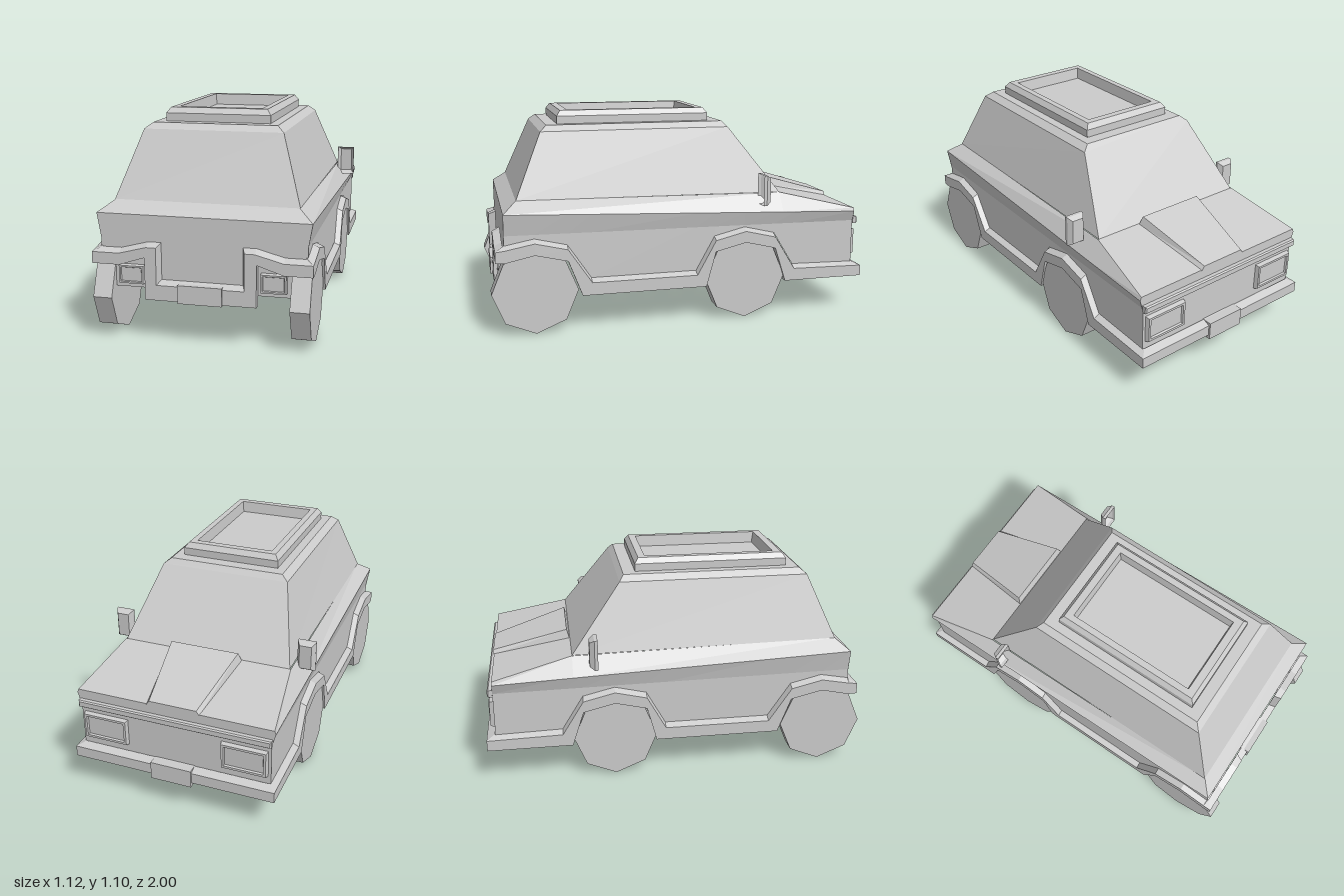
import * as THREE from 'three';

const mat = new THREE.MeshStandardMaterial({ color: 0xcccccc, flatShading: true, side: THREE.DoubleSide });

function add(parent, name, geometry) {
  const mesh = new THREE.Mesh(geometry, mat);
  mesh.name = name;
  parent.add(mesh);
  return mesh;
}

// Skin between rows of [x, y, z] points; closed joins row ends, cap fills the last row
function loft(rows, closed = false, cap = false) {
  const pos = [];
  const n = rows[0].length;
  const quad = (a, b, c, d) => pos.push(...a, ...b, ...c, ...a, ...c, ...d);
  for (let j = 0; j < rows.length - 1; j++) {
    for (let i = 0; i < (closed ? n : n - 1); i++) {
      const k = (i + 1) % n;
      quad(rows[j][i], rows[j][k], rows[j + 1][k], rows[j + 1][i]);
    }
  }
  if (cap) quad(...rows[rows.length - 1]);
  const g = new THREE.BufferGeometry();
  g.setAttribute('position', new THREE.Float32BufferAttribute(pos, 3));
  g.computeVertexNormals();
  return g;
}

// Reflect rows across x, reversing them so faces stay outward
const mirror = (rows) => rows.map((r) => r.map(([x, y, z]) => [-x, y, z]).reverse());

// Level rectangle: half width, back z, hood-side z, heights at each
const rect = (w, z0, z1, y0, y1 = y0) => [[-w, y0, z0], [w, y0, z0], [w, y1, z1], [-w, y1, z1]];

// Upright panel standing out along z; each step is [inset, z]
function panel(cx, cy, w, h, steps) {
  const out = steps[1][1] > steps[0][1];
  return loft(steps.map(([k, z]) => {
    const a = w / 2 - k, b = h / 2 - k;
    const r = [[cx - a, cy - b, z], [cx + a, cy - b, z], [cx + a, cy + b, z], [cx - a, cy + b, z]];
    return out ? r : r.reverse();
  }), true, true);
}

function wall(half, z) {
  const pts = [...half, ...half.map(([x, y]) => [-x, y]).reverse()];
  const g = new THREE.ShapeGeometry(new THREE.Shape(pts.map((p) => new THREE.Vector2(...p))));
  if (z < 0) g.rotateY(Math.PI);
  return g.translate(0, 0, z);
}

const TAIL = 0.93, NOSE = -0.945;
const beltY = (z) => 0.62 - 0.04 * (TAIL - z);
const midY = (z) => 0.51 - 0.01 * (TAIL - z);

// Side trim: top z, top y, bottom z, bottom y, following both wheel arches
const sideTrim = [
  [0.93, 0.442, 0.93, 0.378], [0.78, 0.47, 0.78, 0.41], [0.615, 0.43, 0.615, 0.37],
  [0.495, 0.25, 0.545, 0.185], [-0.06, 0.25, -0.11, 0.185], [-0.16, 0.43, -0.16, 0.37],
  [-0.325, 0.47, -0.325, 0.41], [-0.49, 0.43, -0.49, 0.37], [-0.6, 0.25, -0.55, 0.185],
];
// Tail bumper: top x, top y, bottom x, bottom y, sideways shift of the bevel
const tailTrim = [
  [0, 0.29, 0, 0.215, 0], [0.215, 0.29, 0.272, 0.215, -0.015], [0.215, 0.473, 0.272, 0.422, -0.015],
  [0.265, 0.473, 0.272, 0.422, 0], [0.4, 0.437, 0.4, 0.38, 0],
];

// Half of the trim ribbon, from tail centre round the side to nose centre
function trimRows() {
  const X = 0.537, D = 0.04, UP = 0.018;
  const rows = [[], [], [], []];
  const station = (t, b, nx, nz, ux = 0) => {
    rows[0].push([b[0] - nx * D, b[1], b[2] - nz * D]);
    rows[1].push(b);
    rows[2].push(t);
    rows[3].push([t[0] - nx * D + ux, t[1] + UP, t[2] - nz * D]);
  };
  for (const [tx, ty, bx, by, ux] of tailTrim) station([tx, ty, 0.975], [bx, by, 0.975], 0, 1, ux);
  station([X, 0.437, 0.975], [X, 0.38, 0.975], 1, 1);
  for (const [tz, ty, bz, by] of sideTrim) station([X, ty, tz], [X, by, bz], 1, 0);
  station([X, 0.242, -0.99], [X, 0.185, -0.99], 1, -1);
  station([0, 0.242, -0.99], [0, 0.185, -0.99], 0, -1);
  return rows;
}

export function createModel() {
  const car = new THREE.Group();
  car.name = 'car';
  const body = new THREE.Group();
  body.name = 'body';
  body.position.x = -0.006;
  car.add(body);

  // Lower sides, pinched under the belt line and cut out over the wheels
  const edge = [...sideTrim.map(([z, y]) => [z, y + 0.018]), [NOSE, 0.26]];
  const side = [
    edge.map(([z, y]) => [0.505, y, z]),
    edge.map(([z]) => [0.505, midY(z), z]),
    edge.map(([z]) => [0.525, beltY(z), z]),
  ];
  add(body, 'leftSide', loft(side));
  add(body, 'rightSide', loft(mirror(side)));

  // End walls
  add(body, 'tailWall', wall([[0, 0.26], [0.44, 0.26], [0.44, 0.4], [0.505, 0.41], [0.505, 0.5], [0.525, 0.62]], TAIL));
  add(body, 'noseWall', wall([[0, 0.2], [0.505, 0.2], [0.505, 0.47], [0.525, 0.545]], NOSE));

  // Sloping shoulder between belt line and windows
  const six = (pts) => [...pts.map(([x, y, z]) => [x, y, z]), ...pts.map(([x, y, z]) => [-x, y, z]).reverse()];
  const belt = six([TAIL, -0.535, NOSE].map((z) => [0.525, beltY(z), z]));
  const shoulder = six([[0.452, 0.675, 0.86], [0.46, 0.657, -0.535], [0.518, 0.563, -0.945]]);
  add(body, 'shoulder', loft([belt, shoulder], true));
  add(body, 'hood', loft([[shoulder[3], shoulder[2]].reverse(), [shoulder[1], shoulder[4]]]));

  // Cabin and roof
  add(body, 'cabin', loft([
    rect(0.455, 0.86, -0.535, 0.675, 0.657),
    rect(0.348, 0.72, -0.275, 1.003),
    rect(0.312, 0.685, -0.25, 1.032),
  ], true, true));

  // Roof tray with sunken floor
  add(body, 'roofTray', loft([
    rect(0.265, 0.625, -0.185, 1.03), rect(0.265, 0.625, -0.185, 1.072),
    rect(0.245, 0.605, -0.165, 1.1), rect(0.212, 0.565, -0.127, 1.1),
    rect(0.205, 0.555, -0.12, 1.04),
  ], true, true));

  // Raised hood bulge, tapering to the nose
  const bulge = (wr, zr, yr, wf, zf, yf) => [[-wr, yr, zr], [wr, yr, zr], [wf, yf, zf], [-wf, yf, zf]];
  add(body, 'hoodBulge', loft([
    bulge(0.2, -0.537, 0.655, 0.14, -0.948, 0.56),
    bulge(0.185, -0.55, 0.7, 0.125, -0.948, 0.582),
  ], true, true));
  add(body, 'noseStrip', panel(0, 0.494, 1.02, 0.038, [[0, NOSE], [0, -0.965], [0.006, -0.972]]));

  // Continuous bumper and arch trim
  const trim = trimRows();
  add(body, 'leftTrim', loft(trim));
  add(body, 'rightTrim', loft(mirror(trim)));

  // Plates
  add(body, 'tailPlate', panel(0, 0.255, 0.216, 0.09, [[0, 0.93], [0, 0.985]]));
  add(body, 'nosePlate', panel(0, 0.212, 0.216, 0.094, [[0, -0.945], [0, -1]]));

  // Lamps, mirrors and wheels in pairs
  for (const [s, label] of [[1, 'left'], [-1, 'right']]) {
    add(body, label + 'Headlamp', panel(s * 0.37, 0.37, 0.24, 0.145,
      [[0, NOSE], [0.006, -0.967], [0.018, -0.967], [0.022, -0.957]]));
    add(body, label + 'TailLamp', panel(s * 0.348, 0.328, 0.126, 0.092,
      [[0, TAIL], [0.002, 0.957], [0.01, 0.957], [0.013, 0.95]]));
    add(car, label + 'Mirror', panel(s * 0.513, 0.687, 0.095, 0.16,
      [[0, -0.408], [0, -0.425], [0.016, -0.45]]));
    for (const [z, end] of [[0.782, 'Tail'], [-0.325, 'Nose']]) {
      const wheel = new THREE.CylinderGeometry(0.218, 0.218, 0.094, 8);
      wheel.rotateZ(Math.PI / 2);
      add(body, label + end + 'Wheel', wheel).position.set(s * 0.48, 0.218, z);
    }
  }
  return car;
}
